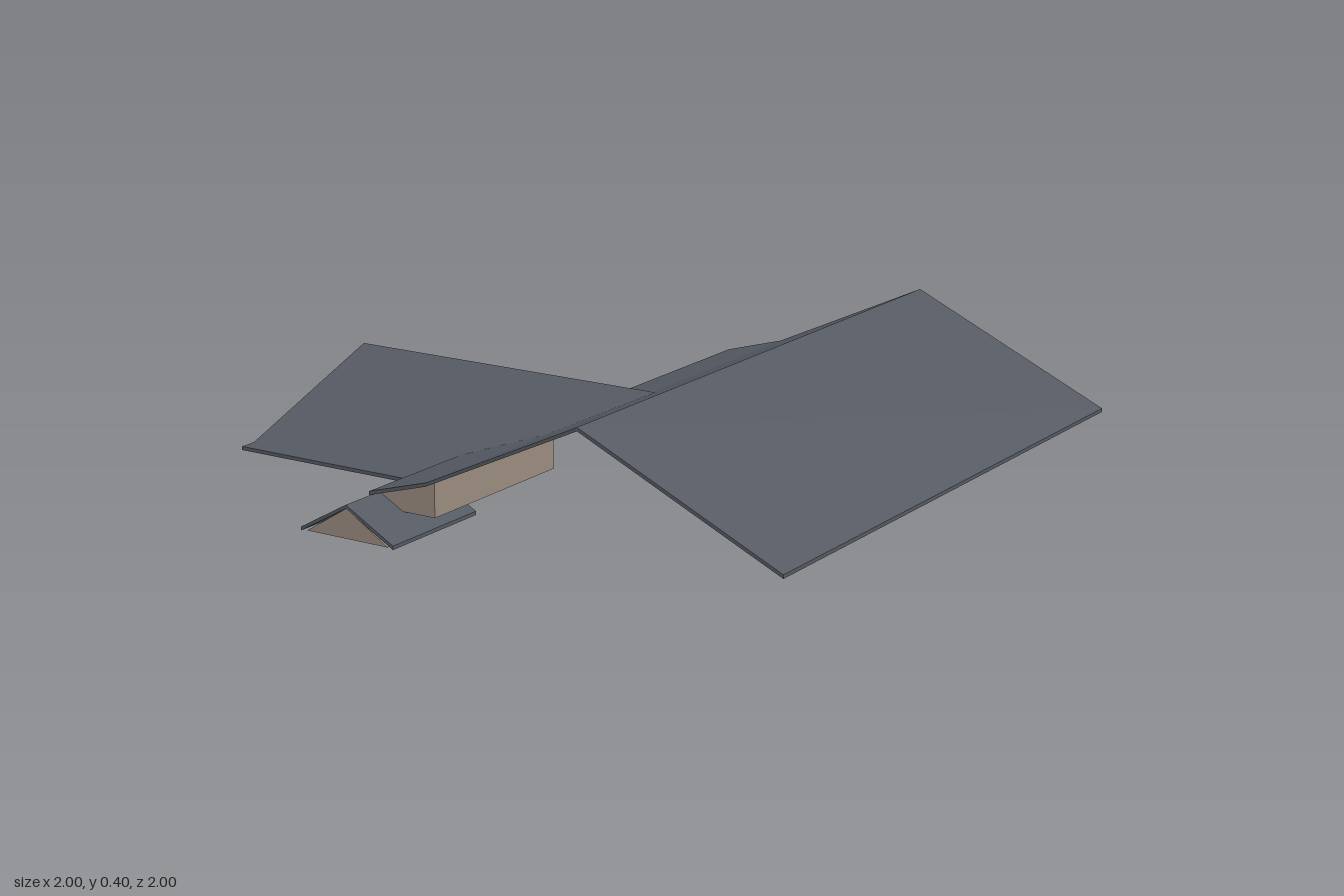
import * as THREE from 'three';

const roofMat = new THREE.MeshStandardMaterial({ color: 0x555a62 });
roofMat.name = 'slate roof';
const soffitMat = new THREE.MeshStandardMaterial({ color: 0x5c5349 });
soffitMat.name = 'dark timber underside';
const wallMat = new THREE.MeshStandardMaterial({ color: 0x9b8c7f });
wallMat.name = 'tan wall';

// Roof heights as [position, y] profiles
const mainProfile = [[-0.325, 0.11], [-0.13, 0.166], [0.37, 0.4], [1, 0.11]];
const wingProfile = [[-0.535, 0.07], [-0.48, 0.07], [0.05, 0.26], [0.58, 0.07], [0.635, 0.07]];
const porchProfile = [[-0.48, 0.01], [-0.32, 0.1], [-0.16, 0.01]];

function heightAt(profile, t) {
  for (let i = 1; i < profile.length; i++) {
    const [a, ya] = profile[i - 1];
    const [b, yb] = profile[i];
    if (t <= b + 1e-4 || i === profile.length - 1) return ya + ((yb - ya) * (t - a)) / (b - a);
  }
}

// Thin sloped slab: plan outline of [x, z] points, lifted onto a height rule
function panel(name, outline, height, under = soffitMat, thickness = 0.011) {
  const shape = new THREE.Shape(outline.map(([x, z]) => new THREE.Vector2(x, -z)));
  const geo = new THREE.ExtrudeGeometry(shape, { depth: thickness, bevelEnabled: false });
  geo.rotateX(-Math.PI / 2);
  const p = geo.attributes.position;
  for (let i = 0; i < p.count; i++) {
    p.setY(i, p.getY(i) - thickness + height(p.getX(i), p.getZ(i)));
  }
  geo.computeVertexNormals();
  // Lower lid is the underside; upper lid and rim are roofing
  const lids = geo.groups[0].count;
  geo.clearGroups();
  geo.addGroup(0, lids / 2, 1);
  geo.addGroup(lids / 2, p.count - lids / 2, 0);
  const mesh = new THREE.Mesh(geo, [roofMat, under]);
  mesh.name = name;
  return mesh;
}

// Solid with an x-y outline, running from z0 to z1
function prism(name, outline, z0, z1, material) {
  const shape = new THREE.Shape(outline.map(([x, y]) => new THREE.Vector2(x, y)));
  const geo = new THREE.ExtrudeGeometry(shape, { depth: z1 - z0, bevelEnabled: false });
  geo.translate(0, 0, z0);
  const mesh = new THREE.Mesh(geo, material);
  mesh.name = name;
  return mesh;
}

const rect = (x0, x1, z0, z1) => [[x0, z0], [x1, z0], [x1, z1], [x0, z1]];

export function createModel() {
  const model = new THREE.Group();
  model.name = 'houseRoofs';
  const mainY = (x) => heightAt(mainProfile, x);
  const wingY = (x, z) => heightAt(wingProfile, z);
  const porchY = (x) => heightAt(porchProfile, x);

  const back = -1, front = 0.89, ridgeZ = 0.05;
  const apex = [0.07, ridgeZ];
  const valley = (s) => [[-0.13, ridgeZ + 0.262 * s], [-0.325, ridgeZ + 0.418 * s]];

  // Main gable roof, notched where the side wing meets it
  const mainRoof = new THREE.Group();
  mainRoof.name = 'mainRoof';
  mainRoof.add(panel('mainLeftSlope', rect(0.37, 1, back, front), mainY));
  mainRoof.add(panel('mainRightSlope', [
    [0.37, back], [0.37, front], [-0.13, front], valley(1)[0], apex, valley(-1)[0], [-0.13, back],
  ], mainY));
  for (const [s, end] of [[1, front], [-1, back]]) {
    const [upper, lower] = valley(s);
    mainRoof.add(panel('mainFlaredEave', [[-0.13, end], [-0.325, end], lower, upper], mainY));
  }
  model.add(mainRoof);

  // Side wing roof: two slopes with level eaves
  const wingRoof = new THREE.Group();
  wingRoof.name = 'wingRoof';
  for (const s of [1, -1]) {
    const eave = ridgeZ + 0.53 * s;
    wingRoof.add(panel('wingSlope', [
      [-1, ridgeZ], apex, ...valley(s), [-0.325, eave], [-1, eave],
    ], wingY));
    wingRoof.add(panel('wingEave', rect(-1, -0.325, eave, eave + 0.055 * s), wingY));
  }
  model.add(wingRoof);

  // Small porch gable under the front corner
  const porch = new THREE.Group();
  porch.name = 'porch';
  porch.add(panel('porchRightSlope', rect(-0.48, -0.32, 0.62, 1), porchY, roofMat));
  porch.add(panel('porchLeftSlope', rect(-0.32, -0.16, 0.62, 1), porchY, roofMat));
  porch.add(prism('porchGable', [[-0.46, 0.002], [-0.18, 0.002], [-0.32, 0.089]], 0.99, 0.998, wallMat));
  model.add(porch);

  // Wall box tucked under the flared eave
  model.add(prism('wallBox', [
    [-0.325, 0.055], [-0.13, 0.055], [-0.13, 0.158], [-0.325, 0.1],
  ], 0.28, 0.85, wallMat));

  return model;
}
